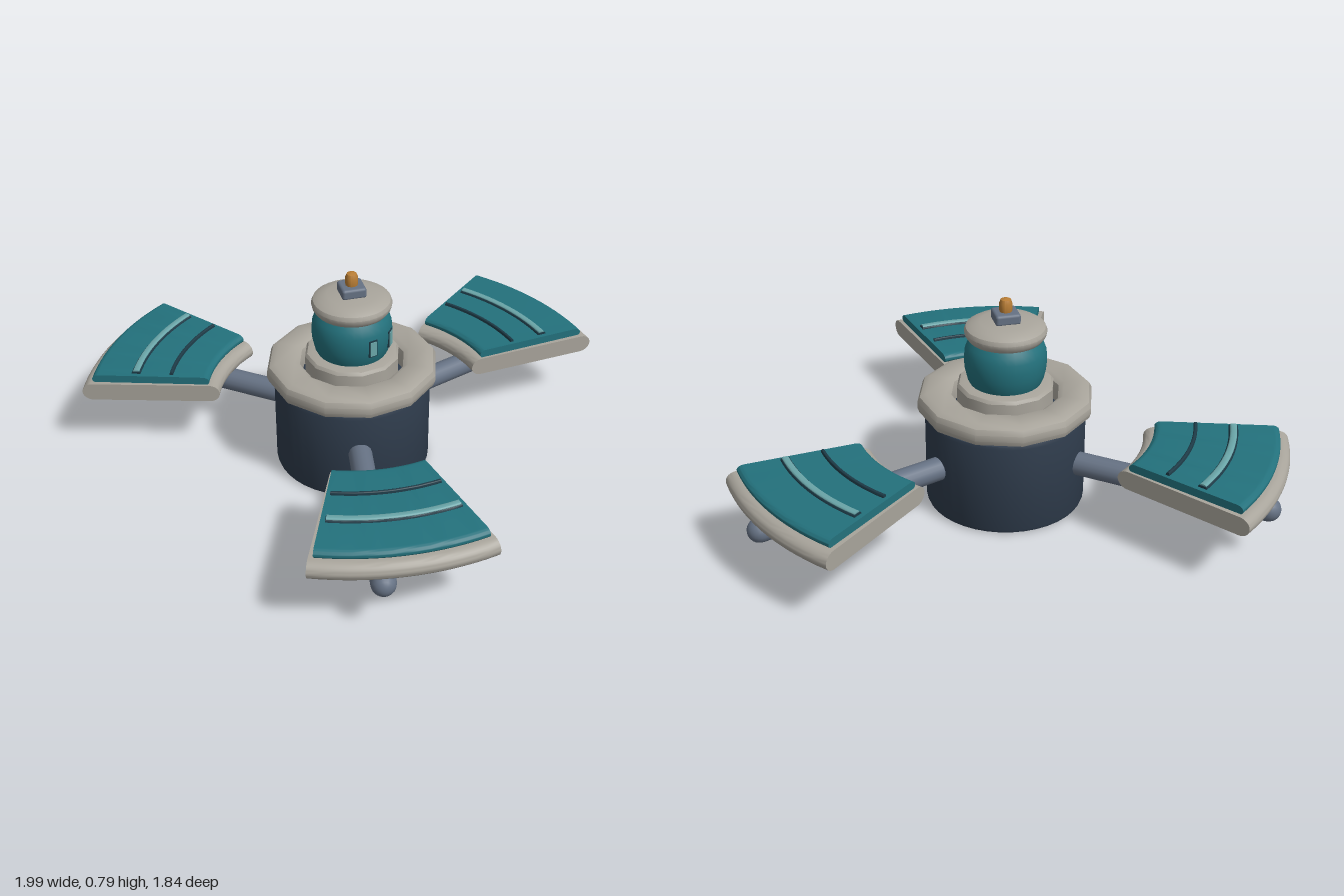
import * as THREE from 'three';
import { toCreasedNormals } from 'three/addons/utils/BufferGeometryUtils.js';
import { RoundedBoxGeometry } from 'three/addons/geometries/RoundedBoxGeometry.js';

const paint = (color) => new THREE.MeshStandardMaterial({ color });
const NAVY = paint(0x2e3b4b), STEEL = paint(0x667284), STONE = paint(0xa8a49b);
const TEAL = paint(0x23717c), PALE = paint(0x6aa5a8), DARK = paint(0x1d3a46), AMBER = paint(0xb87d35);
const rad = THREE.MathUtils.degToRad;

function add(parent, name, geometry, material) {
  const mesh = new THREE.Mesh(geometry, material);
  mesh.name = name;
  parent.add(mesh);
  return mesh;
}

// Turned part from [radius, height] pairs
function turned(points, segments, crease = 0.6) {
  const g = new THREE.LatheGeometry(points.map(([r, y]) => new THREE.Vector2(r, y)), segments);
  return toCreasedNormals(g, crease);
}

// Ring sector with elliptical noses on its inner and outer edges, swept about y
function sector(r0, r1, y0, y1, nose, halfAngle) {
  const mid = (y0 + y1) / 2, h = (y1 - y0) / 2;
  const shape = new THREE.Shape();
  shape.absellipse(r1 - nose, mid, nose, h, -Math.PI / 2, Math.PI / 2, false);
  shape.absellipse(r0 + nose, mid, nose, h, Math.PI / 2, Math.PI * 1.5, false);
  const g = new THREE.ExtrudeGeometry(shape, {
    depth: 2 * halfAngle, steps: 14, curveSegments: 8, bevelEnabled: false,
  });
  const p = g.attributes.position;
  for (let i = 0; i < p.count; i++) {
    const r = p.getX(i), a = p.getZ(i) - halfAngle;
    p.setXYZ(i, r * Math.cos(a), p.getY(i), r * Math.sin(a));
  }
  return toCreasedNormals(g, 0.6);
}

export function createModel() {
  const model = new THREE.Group();
  model.name = 'threeArmedStation';
  const core = new THREE.Group();
  core.name = 'core';
  core.position.set(-0.02, 0, -0.1);
  model.add(core);

  // Drum body with softened rims
  add(core, 'drumBody', turned([
    [0, 0], [0.275, 0], [0.286, 0.005], [0.29, 0.016],
    [0.29, 0.342], [0.286, 0.353], [0.275, 0.358], [0, 0.358],
  ], 40), NAVY);

  // Faceted collar with an open centre
  const collar = add(core, 'collar', turned([
    [0.19, 0.358], [0.295, 0.358], [0.313, 0.368], [0.319, 0.385], [0.319, 0.408],
    [0.31, 0.426], [0.287, 0.437], [0.215, 0.437], [0.196, 0.425], [0.19, 0.405], [0.19, 0.358],
  ], 12), STONE);
  collar.rotation.y = rad(-3);

  // Neck ring, turret and cap
  const neck = add(core, 'neckRing', turned([
    [0, 0.35], [0.176, 0.35], [0.176, 0.455], [0.168, 0.466], [0.15, 0.47], [0, 0.47],
  ], 12), STONE);
  neck.rotation.y = rad(-3);
  add(core, 'turret', turned([
    [0.125, 0.46], [0.137, 0.485], [0.145, 0.52], [0.148, 0.555],
    [0.145, 0.59], [0.136, 0.615], [0.122, 0.635], [0, 0.64],
  ], 32), TEAL);
  add(core, 'cap', turned([
    [0, 0.628], [0.115, 0.628], [0.133, 0.636], [0.144, 0.651], [0.147, 0.666],
    [0.141, 0.68], [0.122, 0.692], [0.09, 0.699], [0, 0.705],
  ], 32), STONE);

  // Turret windows
  for (const deg of [16, 55]) {
    const mount = new THREE.Group();
    mount.name = 'turretWindow';
    mount.rotation.y = rad(deg);
    core.add(mount);
    add(mount, 'windowFrame', new THREE.BoxGeometry(0.034, 0.066, 0.02), DARK).position.set(0, 0.543, 0.139);
    add(mount, 'windowPane', new THREE.BoxGeometry(0.024, 0.056, 0.02), PALE).position.set(0, 0.543, 0.142);
  }

  // Beacon on its square base
  add(core, 'beaconBase', new RoundedBoxGeometry(0.09, 0.04, 0.09, 2, 0.01), STEEL).position.y = 0.717;
  add(core, 'beacon', turned([
    [0, 0.73], [0.021, 0.73], [0.023, 0.74], [0.023, 0.768], [0.018, 0.781], [0, 0.787],
  ], 16), AMBER);

  // Three arms, each carrying a fan panel
  for (const deg of [-20.5, 99.5, 219.5]) {
    const arm = new THREE.Group();
    arm.name = 'armAssembly';
    arm.rotation.y = rad(-deg);
    core.add(arm);
    const beam = add(arm, 'armBeam', new THREE.CapsuleGeometry(0.043, 0.794, 6, 18), STEEL);
    beam.rotation.z = -Math.PI / 2;
    beam.position.set(0.59, 0.195, 0);

    const panel = new THREE.Group();
    panel.name = 'fanPanel';
    panel.rotation.y = rad(4.1);
    arm.add(panel);
    add(panel, 'panelTray', sector(0.5, 1.02, 0.222, 0.291, 0.04, rad(18.2)), STONE);
    add(panel, 'panelSurface', sector(0.538, 0.982, 0.286, 0.321, 0.025, rad(17.2)), TEAL);
    add(panel, 'outerStripEdge', sector(0.8, 0.834, 0.31, 0.329, 0.006, rad(16)), DARK);
    add(panel, 'outerStrip', sector(0.804, 0.83, 0.315, 0.334, 0.006, rad(15.8)), PALE);
    add(panel, 'innerStrip', sector(0.676, 0.69, 0.31, 0.332, 0.005, rad(16)), DARK);
  }
  return model;
}
